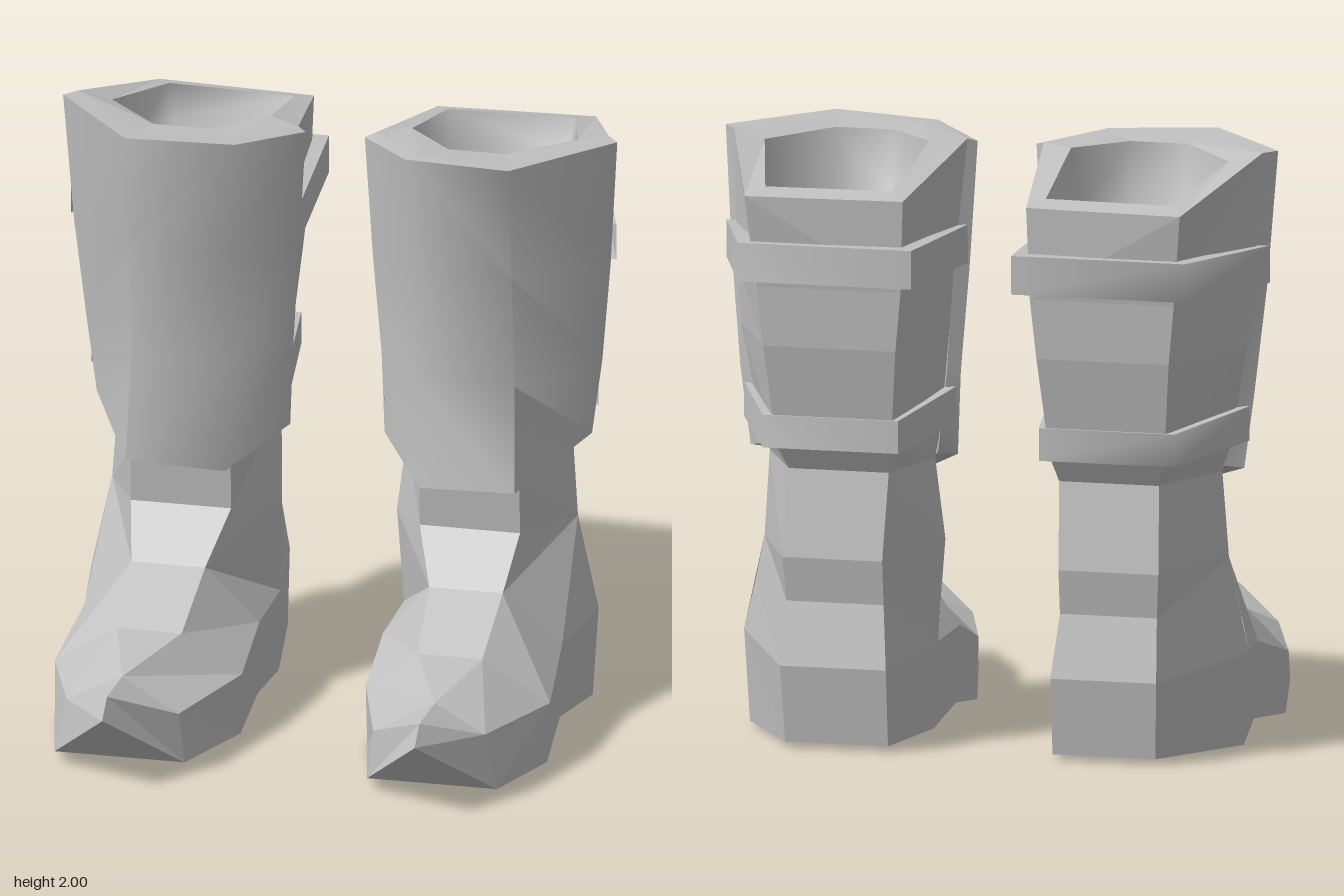
import * as THREE from 'three';
import { mergeVertices, toCreasedNormals } from 'three/addons/utils/BufferGeometryUtils.js';

const leather = new THREE.MeshStandardMaterial({ color: 0xc0c0c0, side: THREE.DoubleSide });
leather.name = 'grey leather';

// Skins rows of [x, y, z] points; side = -1 mirrors the part in x.
function loft(rows, side, closed = false) {
  const out = [];
  const tri = (a, b, c) => {
    if (a === b || b === c || a === c) return;
    for (const p of side > 0 ? [a, b, c] : [a, c, b]) out.push(p[0] * side, p[1], p[2]);
  };
  for (let i = 0; i < rows.length - 1; i++) {
    const n = rows[i].length;
    for (let j = 0; j < (closed ? n : n - 1); j++) {
      const k = (j + 1) % n;
      tri(rows[i][j], rows[i][k], rows[i + 1][j]);
      tri(rows[i][k], rows[i + 1][k], rows[i + 1][j]);
    }
  }
  const geo = new THREE.BufferGeometry();
  geo.setAttribute('position', new THREE.Float32BufferAttribute(out, 3));
  geo.computeVertexNormals();
  return geo;
}

function add(group, name, geo) {
  const mesh = new THREE.Mesh(geo, leather);
  mesh.name = name;
  group.add(mesh);
}

// Ring order: inner side, back inner, back outer, outer side, front outer, front inner
const topRing = [[.13, 1.98, -.26], [.21, 1.87, -.82], [.74, 1.87, -.85], [.90, 2, -.36], [.62, 1.99, -.04], [.33, 1.99, -.08]];
const innerRim = [[.24, 1.98, -.33], [.26, 1.89, -.75], [.69, 1.89, -.77], [.79, 1.97, -.38], [.60, 1.98, -.17], [.40, 1.98, -.17]];
const ankleRing = [[.195, .64, -.30], [.30, .64, -.74], [.64, .64, -.74], [.79, .64, -.38], [.66, .67, -.10], [.32, .67, -.10]];
const shaftRings = [
  topRing,
  [[.17, 1.56, -.28], [.22, 1.56, -.81], [.71, 1.56, -.81], [.88, 1.56, -.40], [.60, 1.56, -.10], [.36, 1.56, -.12]],
  [[.18, 1.36, -.30], [.24, 1.36, -.80], [.69, 1.36, -.80], [.86, 1.36, -.42], [.60, 1.36, -.13], [.36, 1.36, -.13]],
  [[.21, 1.02, -.30], [.27, 1.02, -.74], [.66, 1.02, -.74], [.80, 1.02, -.40], [.64, 1.0, -.10], [.34, 1.0, -.10]],
  [[.23, .91, -.30], [.29, .93, -.69], [.63, .93, -.69], [.77, .93, -.39], [.66, .85, -.09], [.32, .85, -.09]],
  ankleRing,
];
const heelRows = [
  ankleRing.slice(0, 4),
  [[.203, .48, -.32], [.30, .49, -.72], [.63, .49, -.72], [.82, .49, -.38]],
  [[.21, .30, -.34], [.28, .28, -.77], [.64, .28, -.77], [.86, .32, -.38]],
  [[.22, .01, -.36], [.28, .02, -.74], [.63, .02, -.74], [.84, .01, -.38]],
];

// Foot arches from toe to ankle: sole, mid, top, top, mid, sole
const toe = [.53, .26, .86], toeTop = [.53, .32, .79], ridge = [.53, .31, .57];
const insteps = [[.38, .50, .02], [.63, .50, .02]];
const mid = heelRows[2], sole = heelRows[3];
const footRows = [
  [toe, toeTop, toeTop, toeTop, toeTop, toe],
  [[.31, .04, .61], [.33, .21, .61], ridge, ridge, [.71, .23, .61], [.75, .04, .61]],
  [[.215, 0, .21], [.21, .21, .21], [.40, .36, .27], [.62, .36, .27], [.84, .21, .23], [.83, 0, .23]],
  [[.22, .04, -.06], [.21, .30, -.04], ...insteps, [.81, .30, -.07], [.80, .04, -.08]],
  [sole[0], mid[0], ankleRing[0], ankleRing[3], mid[3], sole[3]],
];

// Shin plate rows, wrapping outer side to inner side, with the edge thickness at both ends
const guardRows = [
  [topRing[3], topRing[3], topRing[4], topRing[5], topRing[0], topRing[0]],
  [[.90, 2, -.36], [.94, 2, -.31], [.65, 2, .03], [.29, 1.99, -.02], [.10, 1.97, -.24], [.13, 1.98, -.26]],
  [[.86, 1.6, -.39], [.91, 1.55, -.34], [.65, 1.6, -.02], [.30, 1.6, -.05], [.125, 1.55, -.25], [.17, 1.6, -.28]],
  [[.82, 1.25, -.42], [.875, 1.2, -.37], [.65, 1.2, -.065], [.31, 1.2, -.09], [.15, 1.2, -.27], [.19, 1.2, -.30]],
  [[.77, .95, -.40], [.84, .94, -.37], [.66, .84, -.02], [.33, .82, -.05], [.16, .92, -.27], [.22, .93, -.30]],
  [[.76, .95, -.38], [.76, .95, -.38], [.64, .86, -.11], [.34, .85, -.11], [.23, .92, -.29], [.23, .92, -.29]],
];

// Strap from an outer path of [x, z, top y, bottom y]; the hidden inner edge is pulled inwards
function strap(path, side) {
  const ring = (f, pick) => path.map(p => [.47 + (p[0] - .47) * f, p[pick], -.42 + (p[1] + .42) * f]);
  const rows = [ring(.82, 2), ring(1, 2), ring(1, 3), ring(.82, 3)];
  return toCreasedNormals(loft(rows, side), 1.35);
}

function makeBoot(side) {
  const boot = new THREE.Group();
  boot.name = side > 0 ? 'leftBoot' : 'rightBoot';

  // Shaft, rim and hollow
  add(boot, 'shaft', loft(shaftRings, side, true));
  add(boot, 'rim', loft([innerRim, topRing], side, true));
  const shrink = (f, y) => innerRim.map(p => [.5 + (p[0] - .5) * f, y, -.46 + (p[2] + .46) * f]);
  const bowl = loft([shrink(.02, 1.62), shrink(.55, 1.66), shrink(.88, 1.78), innerRim], side, true);
  bowl.deleteAttribute('normal');
  const lining = mergeVertices(bowl, 1e-4);
  lining.computeVertexNormals();
  add(boot, 'lining', lining);

  // Foot, instep and heel
  add(boot, 'foot', loft(footRows, side, true));
  const [a, b] = insteps;
  add(boot, 'instep', loft([[a, a, b, b], [ankleRing[0], ankleRing[5], ankleRing[4], ankleRing[3]]], side));
  add(boot, 'heel', loft(heelRows, side));
  add(boot, 'heelSole', loft([[sole[1], sole[2]], [sole[0], sole[3]]], side));

  // Shin plate and straps
  add(boot, 'shinGuard', toCreasedNormals(loft(guardRows, side), 1.05));
  add(boot, 'upperStrap', strap([[.13, -.25, 1.69, 1.56], [.17, -.865, 1.715, 1.585], [.76, -.865, 1.715, 1.585], [.925, -.36, 1.69, 1.565]], side));
  add(boot, 'lowerStrap', strap([[.16, -.26, 1.15, 1.03], [.24, -.765, 1.12, 1.01], [.70, -.765, 1.12, 1.01], [.86, -.38, 1.15, 1.035]], side));
  return boot;
}

export function createModel() {
  const group = new THREE.Group();
  group.name = 'boots';
  for (const side of [1, -1]) group.add(makeBoot(side));
  return group;
}
